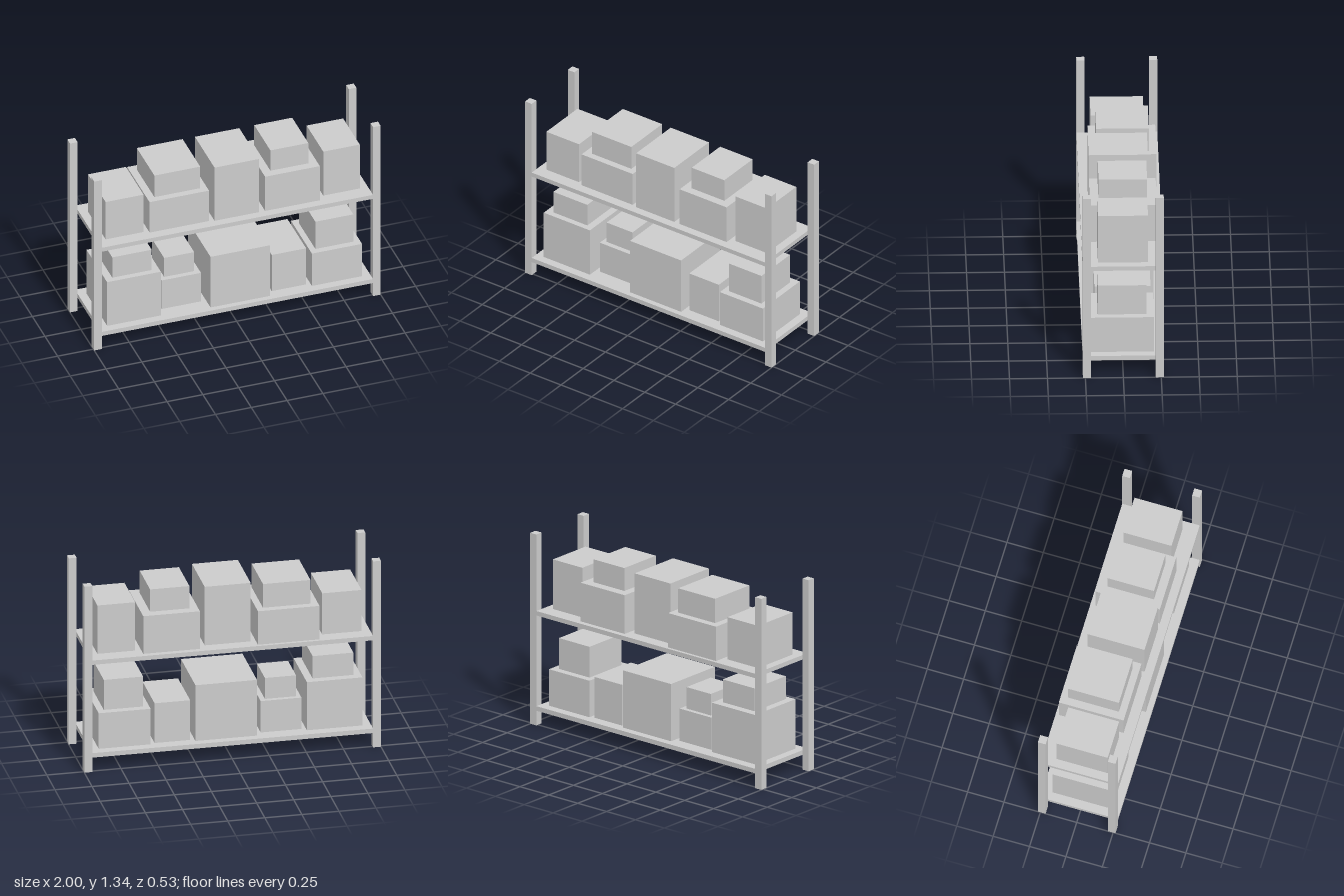
import * as THREE from 'three';

const material = new THREE.MeshStandardMaterial({ color: 0xcccccc, flatShading: true });

// Box spanning the given limits on each axis
function addBox(parent, name, x0, x1, y0, y1, z0, z1) {
  const mesh = new THREE.Mesh(new THREE.BoxGeometry(x1 - x0, y1 - y0, z1 - z0), material);
  mesh.position.set((x0 + x1) / 2, (y0 + y1) / 2, (z0 + z1) / 2);
  mesh.name = name;
  parent.add(mesh);
}

// Cartons as [x0, x1, bottom, top, back, front]
const lowerCartons = [
  [-0.89, -0.515, 0.135, 0.48, -0.2, 0.21],
  [-0.84, -0.565, 0.48, 0.64, -0.147, 0.17],
  [-0.485, -0.21, 0.135, 0.36, -0.17, 0.14],
  [-0.455, -0.245, 0.36, 0.51, -0.14, 0.105],
  [-0.175, 0.24, 0.135, 0.535, -0.215, 0.23],
  [0.27, 0.51, 0.135, 0.42, -0.19, 0.18],
  [0.54, 0.89, 0.135, 0.39, -0.205, 0.21],
  [0.58, 0.845, 0.39, 0.605, -0.157, 0.165],
];
const upperCartons = [
  [-0.89, -0.625, 0.8, 1.095, -0.17, 0.18],
  [-0.59, -0.175, 0.8, 1.04, -0.245, 0.2],
  [-0.54, -0.22, 1.04, 1.21, -0.195, 0.153],
  [-0.14, 0.17, 0.8, 1.22, -0.18, 0.21],
  [0.213, 0.595, 0.8, 1.07, -0.23, 0.21],
  [0.27, 0.535, 1.07, 1.23, -0.167, 0.153],
  [0.635, 0.89, 0.8, 1.147, -0.165, 0.165],
];

export function createModel() {
  const model = new THREE.Group();
  model.name = 'storageRack';

  // Four corner posts
  const frame = new THREE.Group();
  frame.name = 'frame';
  for (const sx of [-1, 1]) {
    for (const sz of [-1, 1]) {
      const name = (sz > 0 ? 'front' : 'back') + (sx > 0 ? 'Left' : 'Right') + 'Post';
      const x = sx * 0.9735, z = sz * 0.24;
      addBox(frame, name, x - 0.0265, x + 0.0265, 0, 1.335, z - 0.0265, z + 0.0265);
    }
  }

  // Two shelves between the posts
  addBox(frame, 'lowerShelf', -0.947, 0.947, 0.103, 0.135, -0.2665, 0.2665);
  addBox(frame, 'upperShelf', -0.947, 0.947, 0.769, 0.8, -0.2665, 0.2665);
  model.add(frame);

  // Cartons on each shelf
  for (const [level, cartons] of [['lower', lowerCartons], ['upper', upperCartons]]) {
    const group = new THREE.Group();
    group.name = level + 'Cartons';
    cartons.forEach((limits, i) => addBox(group, `${level}Carton${i + 1}`, ...limits));
    model.add(group);
  }
  return model;
}
